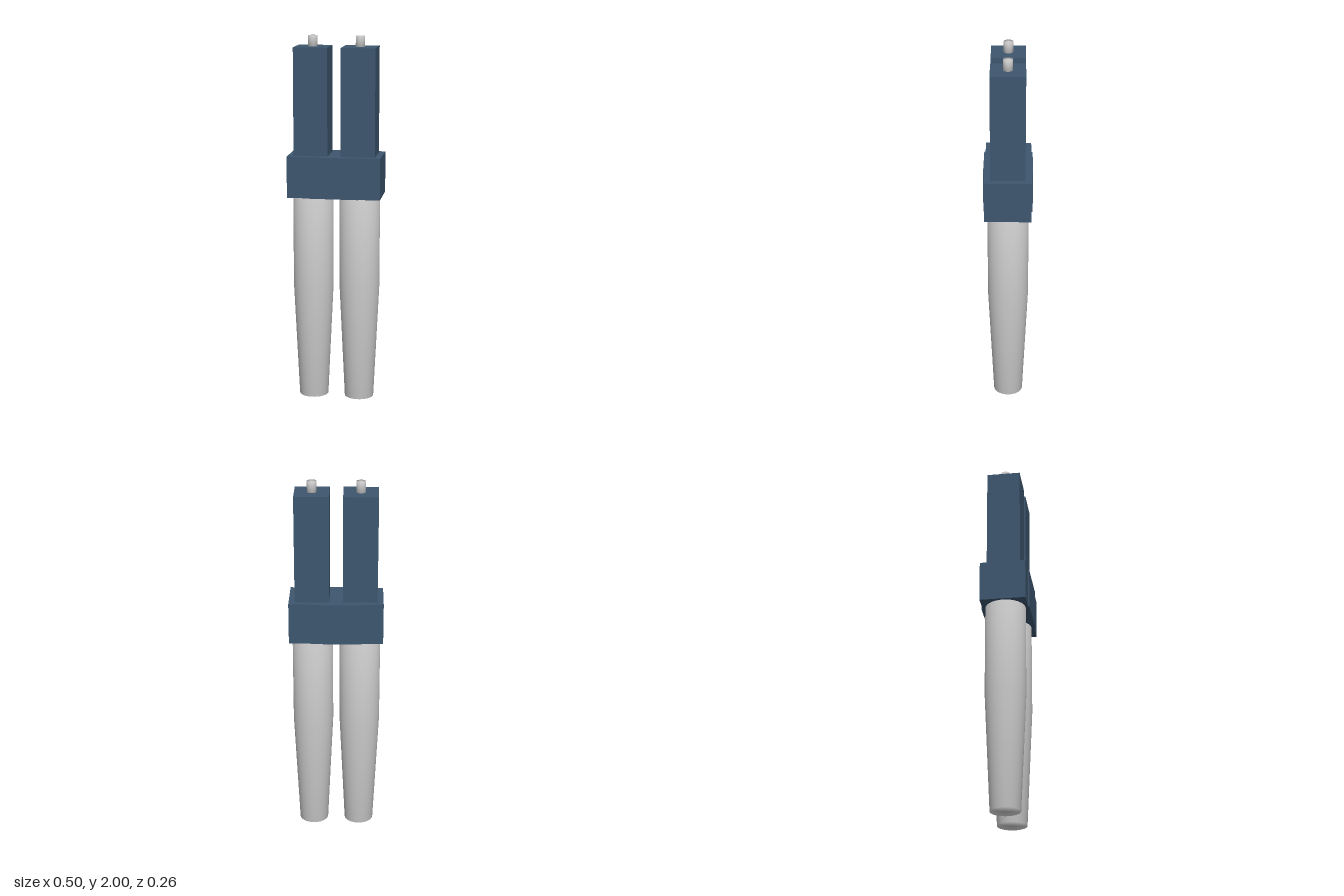
import * as THREE from 'three';

export function createModel() {
  const model = new THREE.Group();
  const blue = new THREE.MeshStandardMaterial({ color: 0x3d566e });
  const grey = new THREE.MeshStandardMaterial({ color: 0xcccccc });

  function add(name, geometry, material, x, y) {
    const mesh = new THREE.Mesh(geometry, material);
    mesh.name = name;
    mesh.position.set(x, y, 0);
    model.add(mesh);
  }

  // Closed round part from [radius, y] pairs, bottom to top
  const turned = (pairs) =>
    new THREE.LatheGeometry(pairs.map(([r, y]) => new THREE.Vector2(r, y)), 32);

  // Clip joining both connectors, with a raised band around its middle
  const shape = new THREE.Shape();
  const outline = [[0.251, 0.124], [0.135, 0.124], [0.135, 0.131], [-0.135, 0.131], [-0.135, 0.124], [-0.251, 0.124]];
  const mirrored = outline.map(([x, z]) => [-x, -z]);
  shape.setFromPoints([...outline, ...mirrored].map(([x, z]) => new THREE.Vector2(x, z)));
  const clip = new THREE.ExtrudeGeometry(shape, { depth: 0.224, bevelEnabled: false });
  clip.rotateX(-Math.PI / 2);
  add('clip', clip, blue, 0, 1.141);

  for (const [side, x] of [['left', 0.1275], ['right', -0.1275]]) {
    // Square connector body, standing on the clip
    add(side + 'Body', new THREE.BoxGeometry(0.183, 0.58, 0.183), blue, x, 1.652);
    // Ferrule pin at the tip
    add(side + 'Pin', turned([[0, 0], [0.025, 0], [0.025, 0.06], [0, 0.06]]), grey, x, 1.94);
    // Strain relief boot, tapering to the cable end
    add(side + 'Boot', turned([[0, 0], [0.08, 0], [0.11, 0.64], [0.11, 1.145], [0, 1.145]]), grey, x, 0);
  }

  return model;
}
